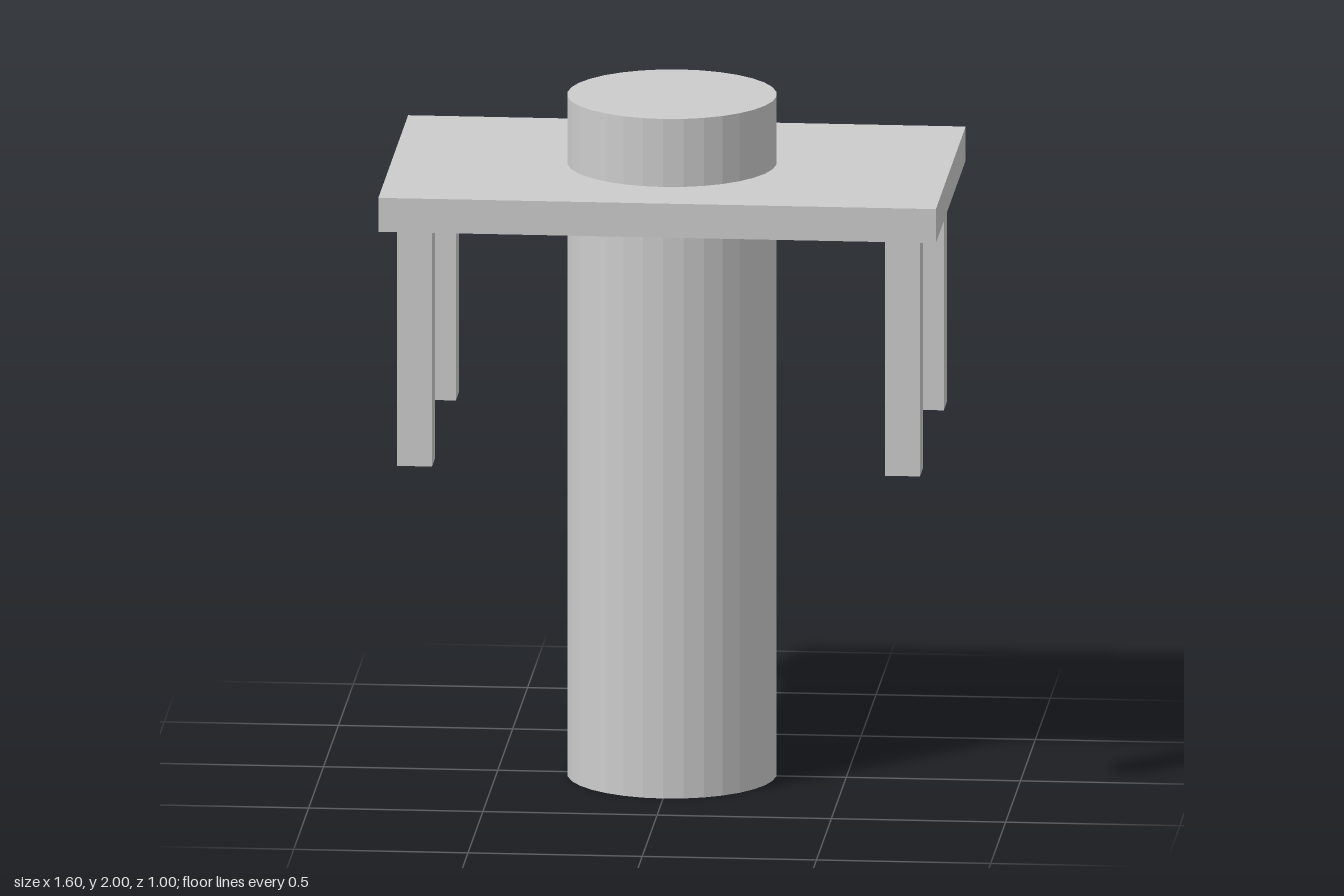
import * as THREE from 'three';

export function createModel() {
  const model = new THREE.Group();
  const grey = new THREE.MeshStandardMaterial({ color: 0xcccccc, flatShading: true });
  grey.name = 'light grey';

  const add = (name, geometry, x, y, z) => {
    const mesh = new THREE.Mesh(geometry, grey);
    mesh.name = name;
    mesh.position.set(x, y, z);
    model.add(mesh);
  };

  // Central column running through the table top
  add('column', new THREE.CylinderGeometry(0.3, 0.3, 2, 32), 0, 1, 0);

  // Table top
  add('tableTop', new THREE.BoxGeometry(1.6, 0.1, 1), 0, 1.75, 0);

  // Four short legs hanging below the corners
  const legGeometry = new THREE.BoxGeometry(0.1, 0.7, 0.1);
  for (const [side, x] of [['Left', 0.7], ['Right', -0.7]]) {
    for (const [end, z] of [['front', 0.4], ['back', -0.4]]) {
      add(`${end}${side}Leg`, legGeometry, x, 1.35, z);
    }
  }

  return model;
}
